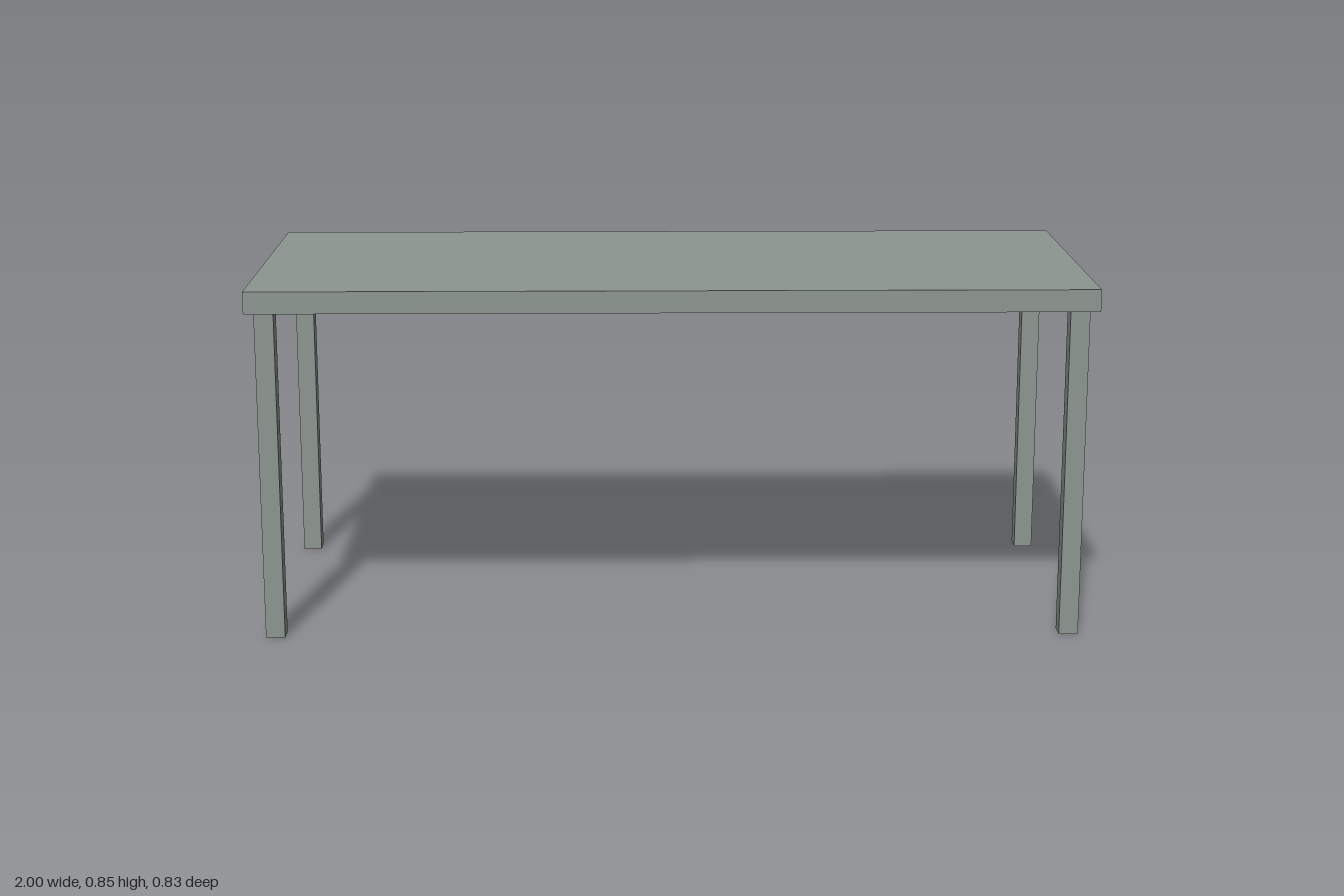
import * as THREE from 'three';

export function createModel() {
  const table = new THREE.Group();
  table.name = 'table';
  const greyGreen = new THREE.MeshStandardMaterial({ color: 0x8c9590 });
  greyGreen.name = 'greyGreen';

  const height = 0.85, topThickness = 0.053, legSize = 0.046;
  const legHeight = height - topThickness;

  function addBox(name, size, position) {
    const mesh = new THREE.Mesh(new THREE.BoxGeometry(...size), greyGreen);
    mesh.name = name;
    mesh.position.set(...position);
    table.add(mesh);
  }

  // Rectangular slab top
  addBox('tableTop', [2, topThickness, 0.831], [0, height - topThickness / 2, 0]);

  // Four square legs, set slightly in from the corners
  for (const [side, sx] of [['Left', 1], ['Right', -1]]) {
    for (const [end, sz] of [['front', 1], ['back', -1]]) {
      addBox(`${end}${side}Leg`, [legSize, legHeight, legSize], [sx * 0.956, legHeight / 2, sz * 0.3725]);
    }
  }
  return table;
}
